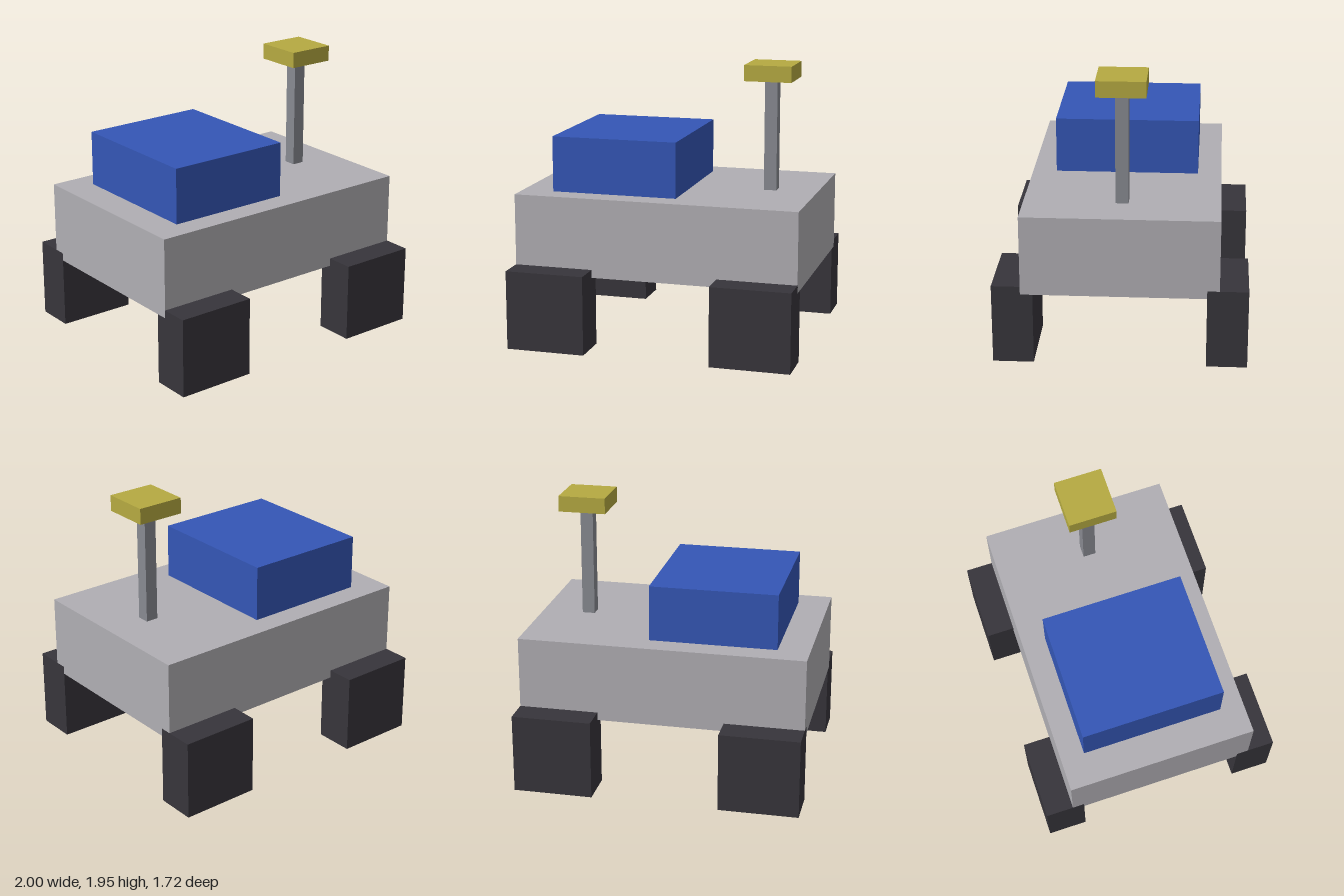
import * as THREE from 'three';

const paint = (name, color) => {
  const m = new THREE.MeshStandardMaterial({ color, side: THREE.DoubleSide });
  m.name = name;
  return m;
};

// Box standing on y, with no underside (every part is an open shell)
function shell(name, material, [w, h, d], [x, y, z]) {
  const geometry = new THREE.BoxGeometry(w, h, d);
  const index = Array.from(geometry.index.array);
  index.splice(18, 6); // fourth face of the box is the bottom
  geometry.setIndex(index);
  geometry.clearGroups();
  geometry.translate(0, h / 2, 0);
  const mesh = new THREE.Mesh(geometry, material);
  mesh.name = name;
  mesh.position.set(x, y, z);
  return mesh;
}

export function createModel() {
  const grey = paint('body grey', 0xb0aeb3);
  const blue = paint('panel blue', 0x3456b5);
  const steel = paint('mast grey', 0x888a91);
  const yellow = paint('head yellow', 0xb5aa41);
  const dark = paint('wheel dark', 0x37353b);

  const model = new THREE.Group();
  model.name = 'rover';

  // Hull, cargo box and mast with its head
  model.add(
    shell('body', grey, [2, 0.556, 1.333], [0, 0.5, 0]),
    shell('cargoBox', blue, [0.889, 0.389, 1], [-0.333, 1.056, 0]),
    shell('mast', steel, [0.089, 0.778, 0.089], [0.667, 1.056, 0]),
    shell('mastHead', yellow, [0.333, 0.111, 0.333], [0.667, 1.834, 0])
  );

  // Four blocky wheels, flush with the ends of the hull
  for (const [sx, end] of [[1, 'left'], [-1, 'right']]) {
    for (const [sz, side] of [[1, 'Front'], [-1, 'Back']]) {
      model.add(shell(`${end}${side}Wheel`, dark, [0.556, 0.556, 0.278], [sx * 0.722, 0, sz * 0.722]));
    }
  }
  return model;
}
